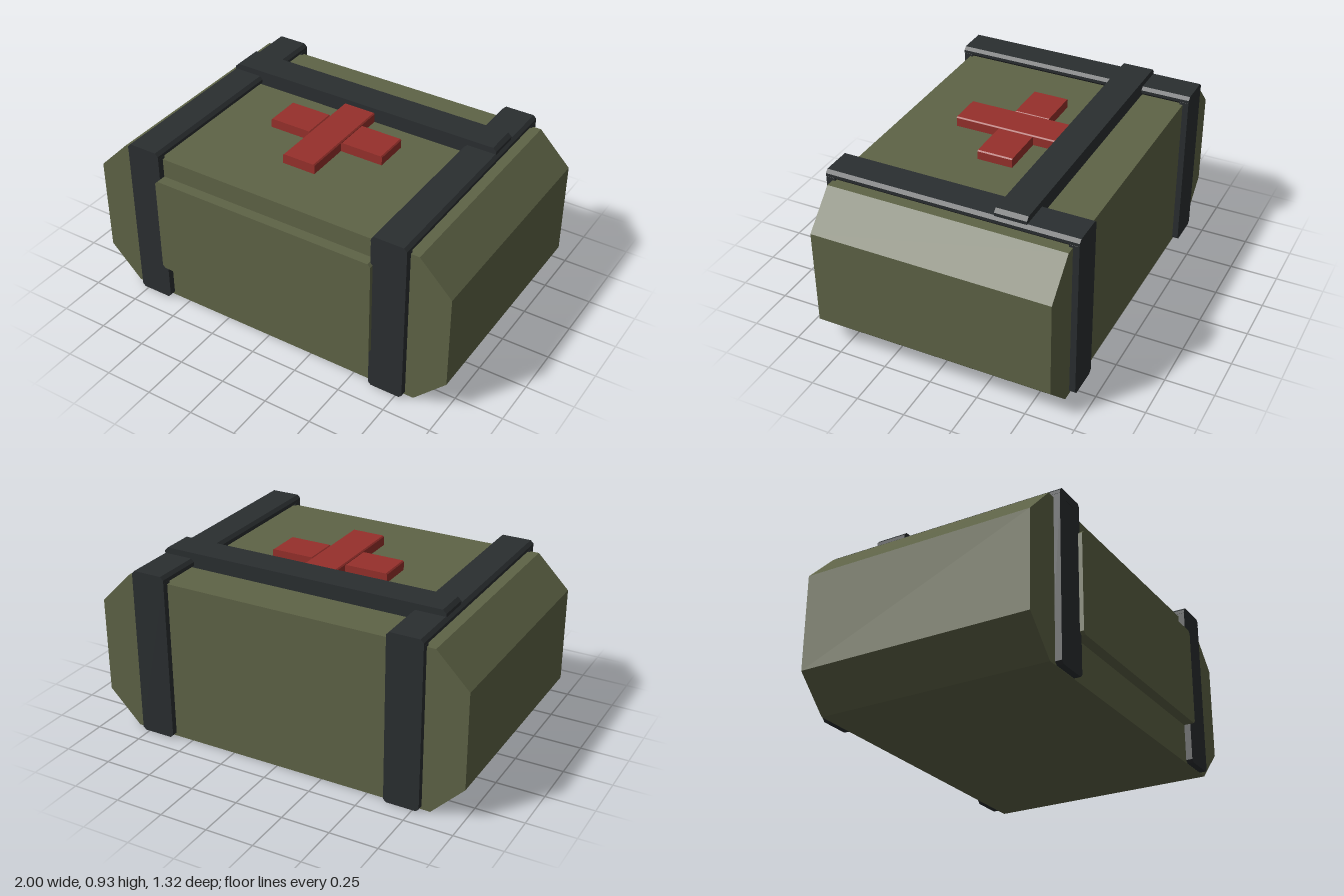
import * as THREE from 'three';

const material = (color) => new THREE.MeshStandardMaterial({ color, flatShading: true });

// Prism along z with its four xy corners cut off by cx, cy
function prism(name, mat, [x0, x1], [y0, y1], [z0, z1], cx, cy = cx) {
  const outline = [
    [x0 + cx, y0], [x1 - cx, y0], [x1, y0 + cy], [x1, y1 - cy],
    [x1 - cx, y1], [x0 + cx, y1], [x0, y1 - cy], [x0, y0 + cy],
  ].map(([x, y]) => new THREE.Vector2(x, y));
  const geometry = new THREE.ExtrudeGeometry(new THREE.Shape(outline), { depth: z1 - z0, bevelEnabled: false });
  geometry.translate(0, 0, z0);
  const mesh = new THREE.Mesh(geometry, mat);
  mesh.name = name;
  return mesh;
}

export function createModel() {
  const green = material(0x5e6346);
  const dark = material(0x2a2e30);
  const red = material(0x96302b);
  const model = new THREE.Group();
  model.name = 'supplyCrate';

  // Case with sloped ends, and the raised front panel
  model.add(prism('caseBody', green, [-1, 1], [0, 0.847], [-0.628, 0.605], 0.17, 0.172));
  model.add(prism('frontPanel', green, [-0.615, 0.612], [0.21, 0.745], [0.58, 0.66], 0.015));

  // Straps wrapping front, top and back on each side
  for (const [side, s] of [['left', 1], ['right', -1]]) {
    const x = s > 0 ? [0.6, 0.785] : [-0.785, -0.6];
    const strap = new THREE.Group();
    strap.name = side + 'Strap';
    strap.add(
      prism('strapFront', dark, x, [0.002, 0.875], [0.59, 0.639], 0.015),
      prism('strapBack', dark, x, [0.002, 0.875], [-0.659, -0.61], 0.015),
      prism('strapTop', dark, x, [0.845, 0.893], [-0.66, 0.64], 0.016),
    );
    model.add(strap);
  }

  // Bar across the lid
  model.add(prism('lidCrossbar', dark, [-0.772, 0.772], [0.842, 0.925], [-0.4, -0.237], 0.018));

  // Raised cross on the lid: one long bar and two side arms
  const cross = new THREE.Group();
  cross.name = 'lidCross';
  cross.add(
    prism('crossLongBar', red, [-0.09, 0.09], [0.838, 0.899], [-0.24, 0.317], 0.006),
    prism('crossLeftArm', red, [0.091, 0.322], [0.838, 0.896], [-0.105, 0.08], 0.006),
    prism('crossRightArm', red, [-0.322, -0.091], [0.838, 0.896], [-0.105, 0.08], 0.006),
  );
  model.add(cross);
  return model;
}
